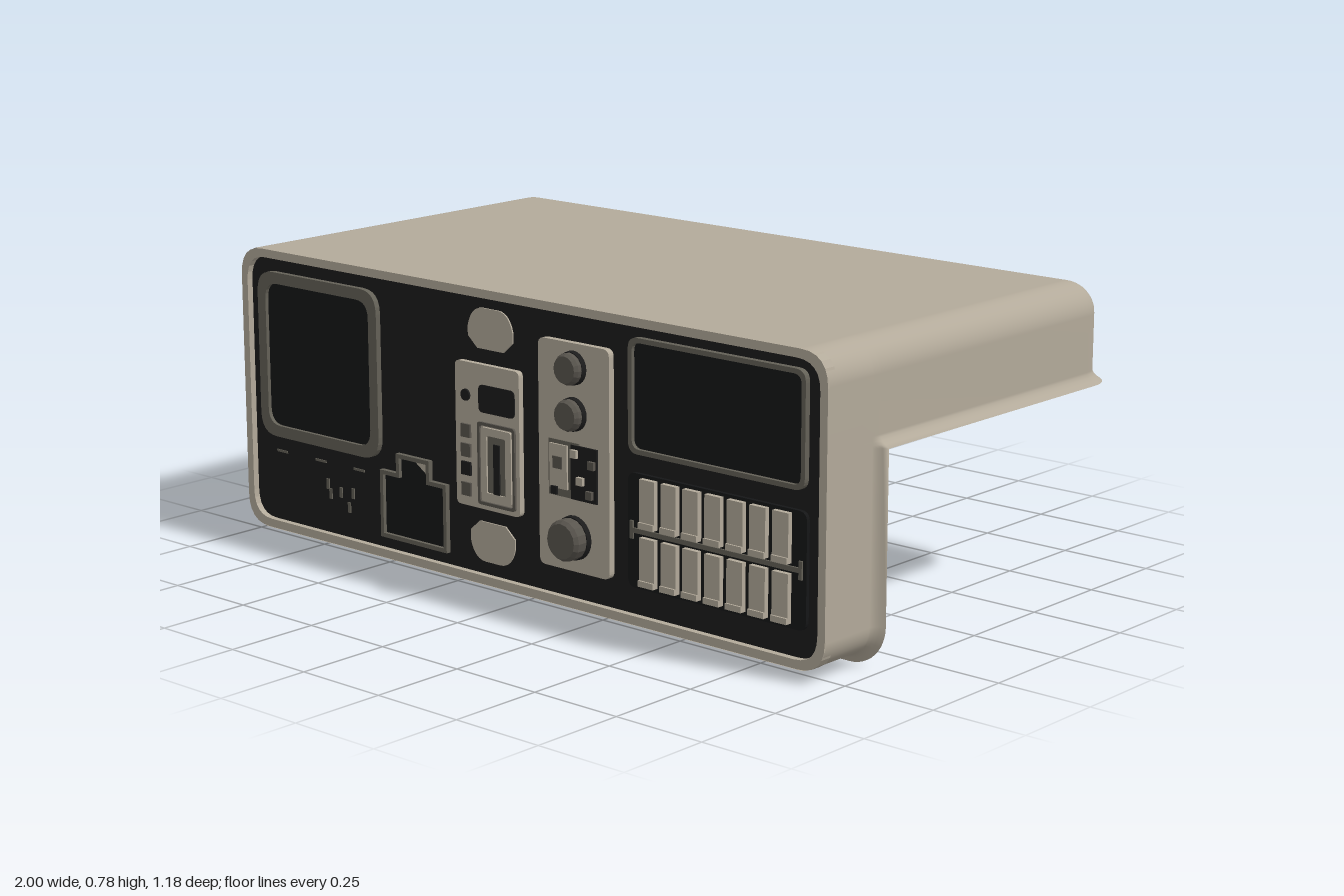
import * as THREE from 'three';
import { mergeVertices } from 'three/addons/utils/BufferGeometryUtils.js';

const mat = (name, color, side = THREE.FrontSide) => {
  const m = new THREE.MeshStandardMaterial({ color, side });
  m.name = name;
  return m;
};

// Rounded shell without a front face; one lower region is cut away and its edge flares outwards
function shellGeometry() {
  const lo = [-1, 0.025, -0.565], hi = [0.975, 0.782, 0.54], r = 0.08, n = 6;
  const cut = { x: -0.92, y: 0.53, z: 0.35 }, flare = 0.025, reach = 0.03;
  const innerLo = lo.map(v => v + r), innerHi = [hi[0] - r, hi[1] - r, hi[2]];
  const near = v => [0, 0.008, 0.016, 0.024, 0.03].map(d => v + d);
  const extra = [[], near(cut.y), near(cut.z)];
  const lines = [0, 1, 2].map(a => {
    const list = [...extra[a]];
    for (let i = 0; i <= n; i++) {
      const t = r * Math.tan(i / n * Math.PI / 4);
      list.push(innerLo[a] - t);
      if (a < 2) list.push(innerHi[a] + t);
    }
    if (a === 2) list.push(hi[2]);
    return list.sort((p, q) => p - q);
  });
  const place = p => {
    const q = p.map((v, a) => Math.min(Math.max(v, innerLo[a]), innerHi[a]));
    const d = p.map((v, a) => v - q[a]);
    const len = Math.hypot(...d) || 1;
    const dist = Math.hypot(Math.max(0, cut.x - p[0]), Math.max(0, p[1] - cut.y), Math.max(0, p[2] - cut.z));
    const out = r + flare * Math.max(0, 1 - dist / reach) ** 2;
    return q.map((v, a) => v + d[a] / len * out);
  };
  const pos = [];
  for (const [a, s] of [[0, 1], [0, -1], [1, 1], [1, -1], [2, -1]]) {
    const b = (a + 1) % 3, c = (a + 2) % 3;
    const at = (u, v) => {
      const p = [0, 0, 0];
      p[a] = s > 0 ? hi[a] : lo[a]; p[b] = u; p[c] = v;
      return p;
    };
    for (let i = 0; i < lines[b].length - 1; i++) for (let j = 0; j < lines[c].length - 1; j++) {
      const [u0, u1, v0, v1] = [lines[b][i], lines[b][i + 1], lines[c][j], lines[c][j + 1]];
      const m = at((u0 + u1) / 2, (v0 + v1) / 2);
      if (m[0] > cut.x && m[1] < cut.y && m[2] < cut.z) continue;
      const k = [at(u0, v0), at(u1, v0), at(u1, v1), at(u0, v1)].map(place);
      const order = s > 0 ? [0, 1, 2, 0, 2, 3] : [0, 2, 1, 0, 3, 2];
      for (const o of order) pos.push(...k[o]);
    }
  }
  let g = new THREE.BufferGeometry();
  g.setAttribute('position', new THREE.Float32BufferAttribute(pos, 3));
  g = mergeVertices(g, 1e-5);
  g.computeVertexNormals();
  return g;
}

// Rounded rectangle from its limits
function roundRect(x0, x1, y0, y1, r, Type = THREE.Shape) {
  const s = new Type();
  s.moveTo(x0 + r, y0);
  s.lineTo(x1 - r, y0); s.quadraticCurveTo(x1, y0, x1, y0 + r);
  s.lineTo(x1, y1 - r); s.quadraticCurveTo(x1, y1, x1 - r, y1);
  s.lineTo(x0 + r, y1); s.quadraticCurveTo(x0, y1, x0, y1 - r);
  s.lineTo(x0, y0 + r); s.quadraticCurveTo(x0, y0, x0 + r, y0);
  return s;
}

export function createModel() {
  const model = new THREE.Group();
  model.name = 'controlConsole';
  const tan = mat('warm grey casing', 0xb3aa9a);
  const shellTan = mat('warm grey shell', 0xb3aa9a, THREE.DoubleSide);
  const black = mat('black panel', 0x1c1c1c);
  const glass = mat('dark glass', 0x151617);
  const trim = mat('olive grey trim', 0x646157);
  const grey = mat('knob grey', 0x59554e);

  const add = (name, geometry, material) => {
    const mesh = new THREE.Mesh(geometry, material);
    mesh.name = name;
    model.add(mesh);
    return mesh;
  };
  const slab = (name, shape, z0, z1, material) => {
    const g = new THREE.ExtrudeGeometry(shape, { depth: z1 - z0, bevelEnabled: false, curveSegments: 6 });
    return add(name, g.translate(0, 0, z0), material);
  };
  const plate = (name, x0, x1, y0, y1, r, z0, z1, material) =>
    slab(name, roundRect(x0, x1, y0, y1, r), z0, z1, material);
  const frame = (name, x0, x1, y0, y1, r, w, z0, z1, material) => {
    const s = roundRect(x0, x1, y0, y1, r);
    s.holes.push(roundRect(x0 + w, x1 - w, y0 + w, y1 - w, Math.max(r - w / 2, 0.004), THREE.Path));
    return slab(name, s, z0, z1, material);
  };
  const box = (name, x0, x1, y0, y1, z0, z1, material) =>
    add(name, new THREE.BoxGeometry(x1 - x0, y1 - y0, z1 - z0)
      .translate((x0 + x1) / 2, (y0 + y1) / 2, (z0 + z1) / 2), material);
  const P = 0.525; // face of the black panel

  // Casing and fascia
  add('shell', shellGeometry(), shellTan);
  frame('frontRim', -0.998, 0.973, 0.027, 0.78, 0.08, 0.022, 0.51, 0.542, tan);
  plate('frontPanel', -0.985, 0.96, 0.04, 0.767, 0.07, 0.515, P, black);

  // Square screen on the one side, wide display on the other
  frame('screenFrame', -0.94, -0.49, 0.28, 0.722, 0.06, 0.03, P, 0.54, trim);
  plate('screen', -0.915, -0.515, 0.305, 0.697, 0.04, P, 0.53, glass);
  frame('displayFrame', 0.37, 0.908, 0.45, 0.732, 0.03, 0.012, P, 0.54, trim);
  plate('display', 0.38, 0.898, 0.46, 0.722, 0.02, P, 0.53, glass);

  // Small marks below the screen
  for (const x of [-0.875, -0.725, -0.58]) box('slotMark', x - 0.02, x + 0.02, 0.235, 0.241, P, P + 0.003, trim);
  for (const [x, y] of [[-0.7, 0.18], [-0.69, 0.155], [-0.65, 0.165], [-0.62, 0.13], [-0.605, 0.17]])
    box('tickMark', x - 0.005, x + 0.005, y - 0.014, y + 0.014, P, P + 0.003, trim);

  // Stepped socket outline
  const stepped = (w, Type) => {
    const s = new Type();
    [[-0.49, 0.08], [-0.25, 0.08], [-0.25, 0.258], [-0.31, 0.258], [-0.31, 0.31], [-0.43, 0.31], [-0.43, 0.258], [-0.49, 0.258]]
      .forEach(([x, y], i) => {
        const px = x + (x < -0.37 ? w : -w), py = y + (y < 0.1 ? w : -w);
        if (i) s.lineTo(px, py); else s.moveTo(px, py);
      });
    s.closePath();
    return s;
  };
  const socket = stepped(0, THREE.Shape);
  socket.holes.push(stepped(0.011, THREE.Path));
  slab('socketFrame', socket, P, 0.538, trim);
  slab('socketFace', stepped(0.01, THREE.Shape), P, 0.528, glass);
  const latch = new THREE.Shape([[-0.365, 0.298], [-0.322, 0.27], [-0.322, 0.298]].map(p => new THREE.Vector2(...p)));
  slab('socketLatch', latch, 0.528, 0.532, tan);

  // Finger scoops above and below the card reader, passing through the panel
  for (const [y, s] of [[0.675, 1], [0.137, -1]]) {
    const d = new THREE.Shape();
    d.moveTo(-0.14, y - s * 0.048);
    d.lineTo(-0.05, y - s * 0.048);
    d.lineTo(-0.018, y - s * 0.02);
    d.lineTo(-0.018, y + s * 0.005);
    d.quadraticCurveTo(-0.03, y + s * 0.055, -0.07, y + s * 0.055);
    d.lineTo(-0.12, y + s * 0.055);
    d.quadraticCurveTo(-0.16, y + s * 0.055, -0.172, y + s * 0.005);
    d.lineTo(-0.172, y - s * 0.02);
    slab('fingerScoop', d, 0.511, 0.529, tan);
  }

  // Card reader plate
  plate('readerPlate', -0.208, 0.012, 0.222, 0.59, 0.015, P, 0.54, tan);
  plate('readerWindow', -0.125, -0.002, 0.47, 0.54, 0.015, 0.54, 0.543, black);
  const lamp = add('readerLamp', new THREE.CylinderGeometry(0.015, 0.015, 0.006, 16), black);
  lamp.rotation.x = Math.PI / 2;
  lamp.position.set(-0.17, 0.506, 0.542);
  [0.415, 0.365, 0.318, 0.265].forEach((y, i) =>
    box('readerKey', -0.186, -0.154, y - 0.017, y + 0.017, 0.54, 0.546, i === 2 ? black : grey));
  frame('readerSlotFrame', -0.128, 0, 0.235, 0.446, 0.01, 0.008, 0.54, 0.546, grey);
  frame('readerSlotRim', -0.116, -0.012, 0.248, 0.434, 0.008, 0.02, 0.54, 0.546, tan);
  box('readerRecess', -0.098, -0.03, 0.266, 0.415, 0.54, 0.542, trim);
  box('readerSlot', -0.073, -0.053, 0.268, 0.395, 0.542, 0.546, black);

  // Knob plate
  plate('knobPlate', 0.08, 0.312, 0.122, 0.69, 0.02, P, 0.542, tan);
  for (const [y, r, z] of [[0.63, 0.041, 0.576], [0.516, 0.041, 0.576], [0.208, 0.054, 0.592]]) {
    const base = add('knobBase', new THREE.CylinderGeometry(r, r * 1.05, 0.02, 24), black);
    base.rotation.x = Math.PI / 2;
    base.position.set(0.197, y, 0.545);
    const g = new THREE.LatheGeometry([[r * 0.96, 0], [r * 0.96, z - 0.56], [r * 0.82, z - 0.55], [0, z - 0.55]]
      .map(p => new THREE.Vector2(...p)), 16).toNonIndexed();
    g.computeVertexNormals();
    const knob = add('knob', g, grey);
    knob.rotation.x = Math.PI / 2;
    knob.position.set(0.197, y, 0.55);
  }

  // Switch cluster
  box('clusterBase', 0.115, 0.215, 0.305, 0.445, 0.542, 0.545, trim);
  box('clusterBase', 0.19, 0.275, 0.305, 0.44, 0.542, 0.547, black);
  box('clusterCover', 0.122, 0.18, 0.325, 0.435, 0.545, 0.55, tan);
  box('clusterKey', 0.135, 0.165, 0.375, 0.405, 0.55, 0.553, grey);
  box('clusterKey', 0.13, 0.15, 0.31, 0.33, 0.55, 0.555, black);
  for (const [x, y] of [[0.205, 0.42], [0.225, 0.355], [0.255, 0.325], [0.262, 0.4]])
    box('clusterSwitch', x - 0.01, x + 0.01, y - 0.01, y + 0.01, 0.547, 0.556, x > 0.25 ? grey : tan);

  // Button bank: two rows of seven
  plate('buttonBed', 0.365, 0.912, 0.118, 0.402, 0.025, P, 0.535, glass);
  box('buttonBar', 0.375, 0.9, 0.256, 0.268, 0.535, 0.54, trim);
  for (const x of [0.38, 0.897]) box('buttonBarEnd', x - 0.005, x + 0.005, 0.24, 0.285, 0.535, 0.54, trim);
  for (let i = 0; i < 7; i++) for (const y of [0.19, 0.334]) {
    const x = 0.436 + i * 0.068;
    box('button', x - 0.024, x + 0.024, y - 0.06, y + 0.06, 0.53, 0.548, tan).rotation.x = 0;
    box('buttonLip', x - 0.024, x + 0.024, y - 0.06, y - 0.045, 0.548, 0.553, tan);
  }
  return model;
}
